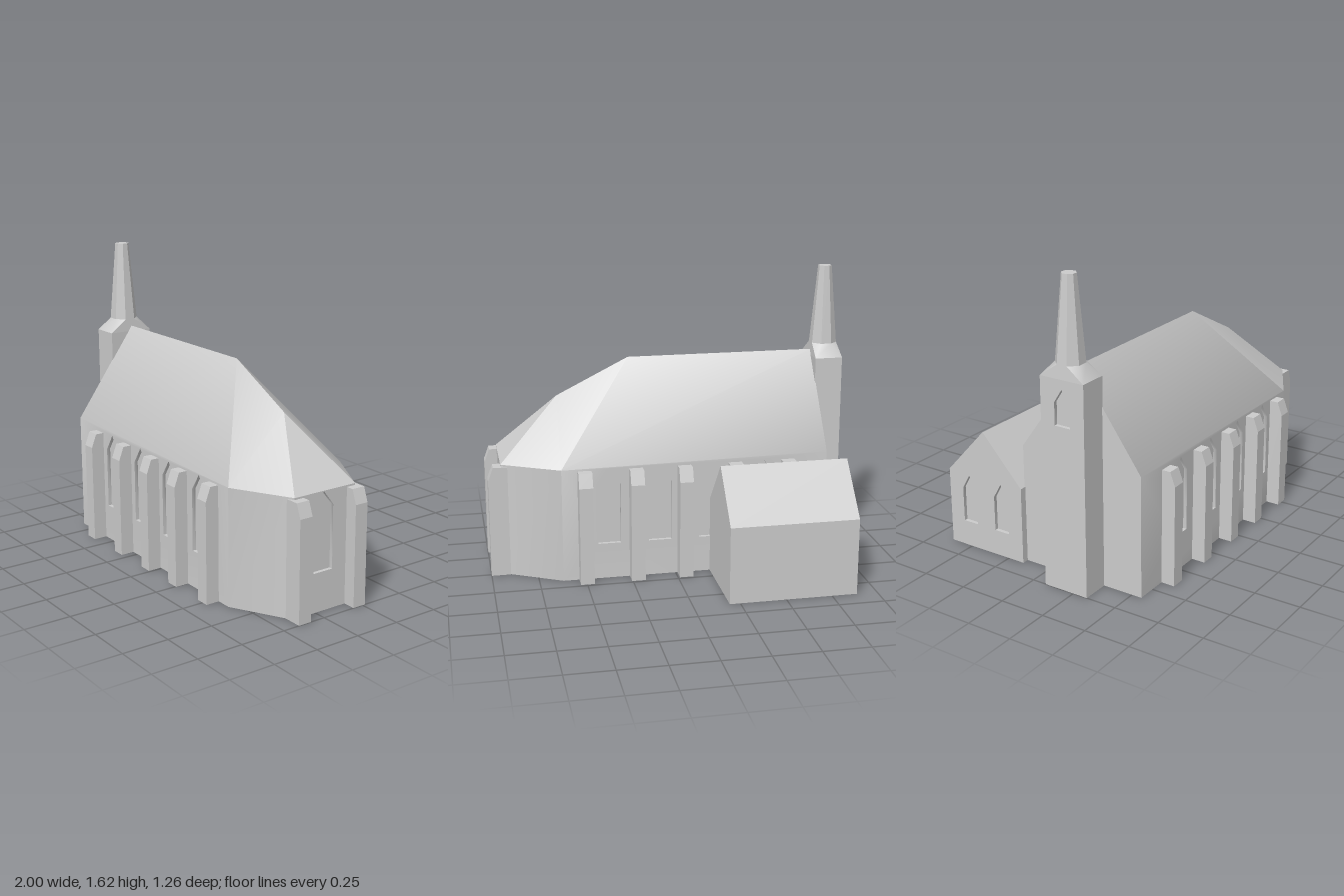
import * as THREE from 'three';
import { mergeGeometries, toCreasedNormals } from 'three/addons/utils/BufferGeometryUtils.js';

const stone = new THREE.MeshStandardMaterial({ color: 0xcccccc });
stone.name = 'lightGreyStone';

const CZ = 0.1975; // centre line of the nave
const HALF = 0.3575; // half width of the nave
const APSE = 0.19; // half width of the apse end

// Flat polygon, corners counter-clockwise seen from outside
function poly(points) {
  const pos = [];
  for (let i = 1; i < points.length - 1; i++) pos.push(...points[0], ...points[i], ...points[i + 1]);
  const g = new THREE.BufferGeometry();
  g.setAttribute('position', new THREE.Float32BufferAttribute(pos, 3));
  return g;
}

function bare(geometry) {
  const g = geometry.index ? geometry.toNonIndexed() : geometry;
  g.deleteAttribute('uv');
  g.deleteAttribute('normal');
  return g;
}

// Pointed window outline
function lancet(u, width, sill, spring, apex) {
  const h = width / 2;
  return [[u - h, sill], [u + h, sill], [u + h, spring], [u, apex], [u - h, spring]];
}

// Upright wall facing +z with recessed windows, then turned and moved
function wall(outline, windows, angle, x, z, depth = 0.02) {
  const v2 = (list) => list.map((p) => new THREE.Vector2(...p));
  const shape = new THREE.Shape(v2(outline));
  const parts = [];
  for (const w of windows) {
    shape.holes.push(new THREE.Path(v2(w)));
    parts.push(poly(w.map(([u, y]) => [u, y, -depth])));
    w.forEach(([u, y], i) => {
      const [u2, y2] = w[(i + 1) % w.length];
      parts.push(poly([[u, y, 0], [u2, y2, 0], [u2, y2, -depth], [u, y, -depth]]));
    });
  }
  parts.push(bare(new THREE.ShapeGeometry(shape)));
  return mergeGeometries(parts).rotateY(angle).translate(x, 0, z);
}

function part(name, geometries) {
  const m = new THREE.Mesh(toCreasedNormals(mergeGeometries(geometries), 0.68), stone);
  m.name = name;
  return m;
}

// Nave with its hipped roof and three-sided apse
function buildNave() {
  const parts = [];
  const windowXs = [-0.49, -0.195, 0.085, 0.365];
  const W = -0.85, B = 0.62, E = 0.93, eave = 0.63, eaveW = 0.65;
  const ridgeW = [W, 1.15, CZ], ridgeE = [0.2, 1.15, CZ], peak = [0.6, 0.95, CZ];
  for (const s of [1, -1]) {
    const z = CZ + s * HALF, ze = CZ + s * APSE;
    const add = (pts) => parts.push(poly(s > 0 ? pts : pts.reverse()));
    add([[W, eaveW, z], [B, eave, z], ridgeE, ridgeW]);
    add([[B, eave, z], peak, ridgeE]);
    add([[B, eave, z], [E, eave, ze], peak]);
    add([[B, 0, z], [E, 0, ze], [E, eave, ze], [B, eave, z]]);
    const outline = [[W, 0], [B, 0], [B, eave], [W, eaveW]].map(([x, y]) => [s * x, y]);
    const windows = windowXs.map((x) => lancet(s * x, 0.125, 0.2, 0.535, 0.627));
    parts.push(wall(outline, windows, s > 0 ? 0 : Math.PI, 0, z));
  }
  const n = CZ - HALF, so = CZ + HALF, en = CZ - APSE, es = CZ + APSE;
  // Apse end wall and roof face
  parts.push(wall([[-APSE, 0], [APSE, 0], [APSE, eave], [-APSE, eave]],
    [lancet(-0.008, 0.12, 0.21, 0.55, 0.627)], Math.PI / 2, E, CZ));
  parts.push(poly([[E, eave, es], [E, eave, en], peak]));
  // West gable and underside
  parts.push(poly([[W, 0, n], [W, 0, so], [W, eaveW, so], ridgeW, [W, eaveW, n]]));
  parts.push(poly([[W, 0, so], [W, 0, n], [B, 0, n], [E, 0, en], [E, 0, es], [B, 0, so]]));
  return part('nave', parts);
}

// Buttresses with sloping shoulders
function buildButtresses() {
  const group = new THREE.Group();
  group.name = 'buttresses';
  const width = 0.075;
  const profile = [[-0.03, 0], [0.075, 0], [0.075, 0.545], [0.047, 0.62], [-0.03, 0.62]];
  const geometry = new THREE.ExtrudeGeometry(
    new THREE.Shape(profile.map((p) => new THREE.Vector2(...p))),
    { depth: width, bevelEnabled: false }).translate(0, 0, -width / 2);
  const place = (name, x, z, angle) => {
    const m = new THREE.Mesh(geometry, stone);
    m.name = name;
    m.position.set(x, 0, z);
    m.rotation.y = angle;
    group.add(m);
  };
  for (const x of [-0.627, -0.33, -0.048, 0.218, 0.497]) {
    place('frontButtress', x, CZ + HALF, -Math.PI / 2);
    place('backButtress', x, CZ - HALF, Math.PI / 2);
  }
  for (const z of [0.37, 0.022]) place('apseButtress', 0.925, z, 0);
  return group;
}

// Gabled side building
function buildAnnex() {
  const w = -0.887, e = -0.193, n = -0.633, s = -0.155, r = -0.394, eave = 0.42, top = 0.68;
  const gable = [[n, 0], [s, 0], [s, eave], [r, top], [n, eave]];
  return part('annex', [
    wall(gable, [-0.5, -0.29].map((z) => lancet(z, 0.09, 0.14, 0.33, 0.41)), -Math.PI / 2, w, 0),
    poly(gable.map(([z, y]) => [e, y, z]).reverse()),
    poly([[w, eave, s], [e, eave, s], [e, top, r], [w, top, r]]),
    poly([[e, eave, n], [w, eave, n], [w, top, r], [e, top, r]]),
    poly([[e, 0, n], [w, 0, n], [w, eave, n], [e, eave, n]]),
    poly([[w, 0, s], [e, 0, s], [e, eave, s], [w, eave, s]]),
    poly([[w, 0, s], [w, 0, n], [e, 0, n], [e, 0, s]]),
  ]);
}

// Square tower
function buildTower() {
  const hx = 0.077, hz = 0.127, h = 1.12;
  const rect = (a) => [[-a, 0], [a, 0], [a, h], [-a, h]];
  const t = part('tower', [
    wall(rect(hz), [lancet(0, 0.09, 0.88, 1.0, 1.07)], -Math.PI / 2, -hx, 0),
    wall(rect(hz), [], Math.PI / 2, hx, 0),
    wall(rect(hx), [], 0, 0, hz),
    wall(rect(hx), [], Math.PI, 0, -hz),
    poly([[-hx, 0, hz], [-hx, 0, -hz], [hx, 0, -hz], [hx, 0, hz]]),
  ]);

  // Square-to-octagon base of the spire
  const y = 1.19, R = 0.0765, faces = [];
  const oct = (a) => [R * Math.sin(a), y, R * Math.cos(a)];
  const corners = [[hx, h, hz], [hx, h, -hz], [-hx, h, -hz], [-hx, h, hz]];
  for (let k = 0; k < 4; k++) {
    const a = k * Math.PI / 2;
    const o1 = oct(a + Math.PI / 8), o2 = oct(a + 3 * Math.PI / 8), next = oct(a + 5 * Math.PI / 8);
    faces.push(poly([corners[k], o2, o1]), poly([corners[k], corners[(k + 1) % 4], next, o2]));
  }
  // Tapered octagonal spire with a flat top
  const spire = bare(new THREE.CylinderGeometry(0.038, R, 0.435, 8))
    .rotateY(Math.PI / 8).translate(0, y + 0.2175, 0);

  const group = new THREE.Group();
  group.name = 'towerAndSpire';
  group.add(t, part('spireBase', faces), part('spire', [spire]));
  group.position.set(-0.923, 0, 0.205);
  return group;
}

export function createModel() {
  const model = new THREE.Group();
  model.name = 'church';
  model.add(buildNave(), buildButtresses(), buildAnnex(), buildTower());
  return model;
}
